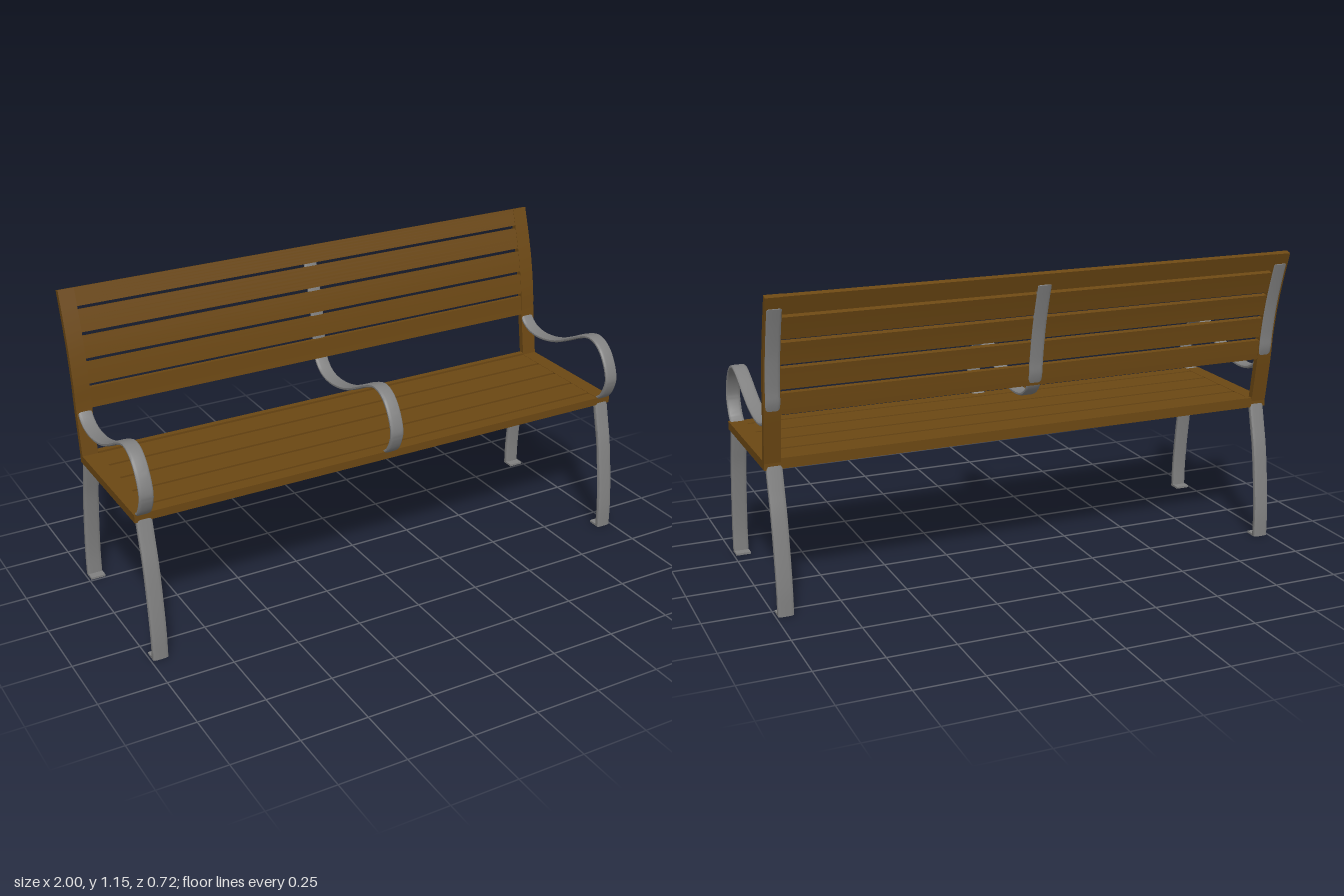
import * as THREE from 'three';
import { toCreasedNormals } from 'three/addons/utils/BufferGeometryUtils.js';

const wood = new THREE.MeshStandardMaterial({ color: 0x6b4713 });
const steel = new THREE.MeshStandardMaterial({ color: 0x808080 });

// Side-on path through [z, y] points
const path = (pts) =>
  new THREE.CatmullRomCurve3(pts.map(([z, y]) => new THREE.Vector3(z, y, 0)), false, 'centripetal');

// Parameter at which a rising path reaches height y
function paramAt(curve, y) {
  let lo = 0, hi = 1;
  for (let i = 0; i < 30; i++) {
    const mid = (lo + hi) / 2;
    if (curve.getPoint(mid).y < y) lo = mid; else hi = mid;
  }
  return lo;
}

// Curved band: thickness across the path, width along x, optionally rounded edges
function band(curve, thickness, width, { t0 = 0, t1 = 1, steps = 24, round = 0 } = {}) {
  const a = [], b = [];
  for (let i = 0; i <= steps; i++) {
    const t = t0 + (t1 - t0) * i / steps;
    const p = curve.getPoint(t), d = curve.getTangent(t);
    const nx = -d.y * thickness / 2, ny = d.x * thickness / 2;
    a.push(new THREE.Vector2(p.x + nx, p.y + ny));
    b.unshift(new THREE.Vector2(p.x - nx, p.y - ny));
  }
  const bevel = round ? 0.012 : 0;
  const depth = width - 2 * bevel;
  const geo = new THREE.ExtrudeGeometry(new THREE.Shape([...a, ...b]), {
    depth, bevelEnabled: round > 0, bevelThickness: bevel,
    bevelSize: round, bevelOffset: -round, bevelSegments: 3,
  });
  geo.translate(0, 0, -depth / 2);
  geo.rotateY(-Math.PI / 2);
  return toCreasedNormals(geo, 0.6);
}

export function createModel() {
  const bench = new THREE.Group();
  bench.name = 'bench';

  const add = (name, geo, mat, x = 0) => {
    const mesh = new THREE.Mesh(geo, mat);
    mesh.name = name;
    mesh.position.x = x;
    bench.add(mesh);
  };
  const box = (name, mat, w, [y0, y1], [z0, z1], x = 0) => {
    const geo = new THREE.BoxGeometry(w, y1 - y0, z1 - z0);
    geo.translate(0, (y0 + y1) / 2, (z0 + z1) / 2);
    add(name, geo, mat, x);
  };

  // Seat slats and end rails
  const slatEdges = [[0.237, 0.288], [0.125, 0.227], [0.013, 0.114], [-0.099, 0.001], [-0.212, -0.111]];
  slatEdges.forEach((z) => box('seatSlat', wood, 1.88, [0.515, 0.545], z));
  box('seatBackRail', wood, 1.88, [0.515, 0.553], [-0.235, -0.212]);
  for (const s of [-1, 1]) box('seatEndRail', wood, 0.06, [0.515, 0.546], [-0.235, 0.288], s * 0.97);

  // Backrest: two curved stiles with five slats between them
  const backPts = [[-0.222, 0.53], [-0.238, 0.634], [-0.252, 0.73], [-0.260, 0.81],
    [-0.282, 0.93], [-0.309, 1.03], [-0.345, 1.143]];
  const back = path(backPts);
  for (const s of [-1, 1]) add('backStile', band(back, 0.023, 0.06), wood, s * 0.97);
  const backSlats = [[0.716, 0.792], [0.806, 0.883], [0.897, 0.976], [0.989, 1.068], [1.079, 1.143]];
  for (const [y0, y1] of backSlats) {
    const range = { t0: paramAt(back, y0), t1: paramAt(back, y1), steps: 6 };
    add('backSlat', band(back, 0.02, 1.88, range), wood);
  }

  // Armrest straps: loop up from the seat front, dip, then run up behind the backrest
  const arm = path([
    [0.276, 0.54], [0.300, 0.56], [0.321, 0.60], [0.328, 0.635], [0.312, 0.688], [0.278, 0.738],
    [0.240, 0.764], [0.200, 0.770], [0.142, 0.751], [0.066, 0.713], [-0.01, 0.680], [-0.087, 0.662],
    [-0.154, 0.660], [-0.205, 0.673], [-0.243, 0.705], [-0.264, 0.755], [-0.270, 0.81],
    [-0.291, 0.93], [-0.318, 1.03], [-0.340, 1.10],
  ]);
  for (const x of [-0.968, 0, 0.968])
    add('armrest', band(arm, 0.014, 0.052, { steps: 80, round: 0.004 }), steel, x);

  // Bowed legs with small feet turned inward
  const legPts = [[0.276, 0.525], [0.297, 0.44], [0.316, 0.36], [0.338, 0.21], [0.349, 0.09], [0.350, 0]];
  const frontLeg = path(legPts);
  const backLeg = path(legPts.map(([z, y]) => [0.051 - z, y]));
  for (const s of [-1, 1]) {
    const x = s * 0.964;
    add('frontLeg', band(frontLeg, 0.022, 0.058, { round: 0.006 }), steel, x);
    add('backLeg', band(backLeg, 0.022, 0.058, { round: 0.006 }), steel, x);
    box('frontFoot', steel, 0.056, [0, 0.008], [0.308, 0.358], x);
    box('backFoot', steel, 0.056, [0, 0.008], [-0.307, -0.257], x);
  }
  return bench;
}
